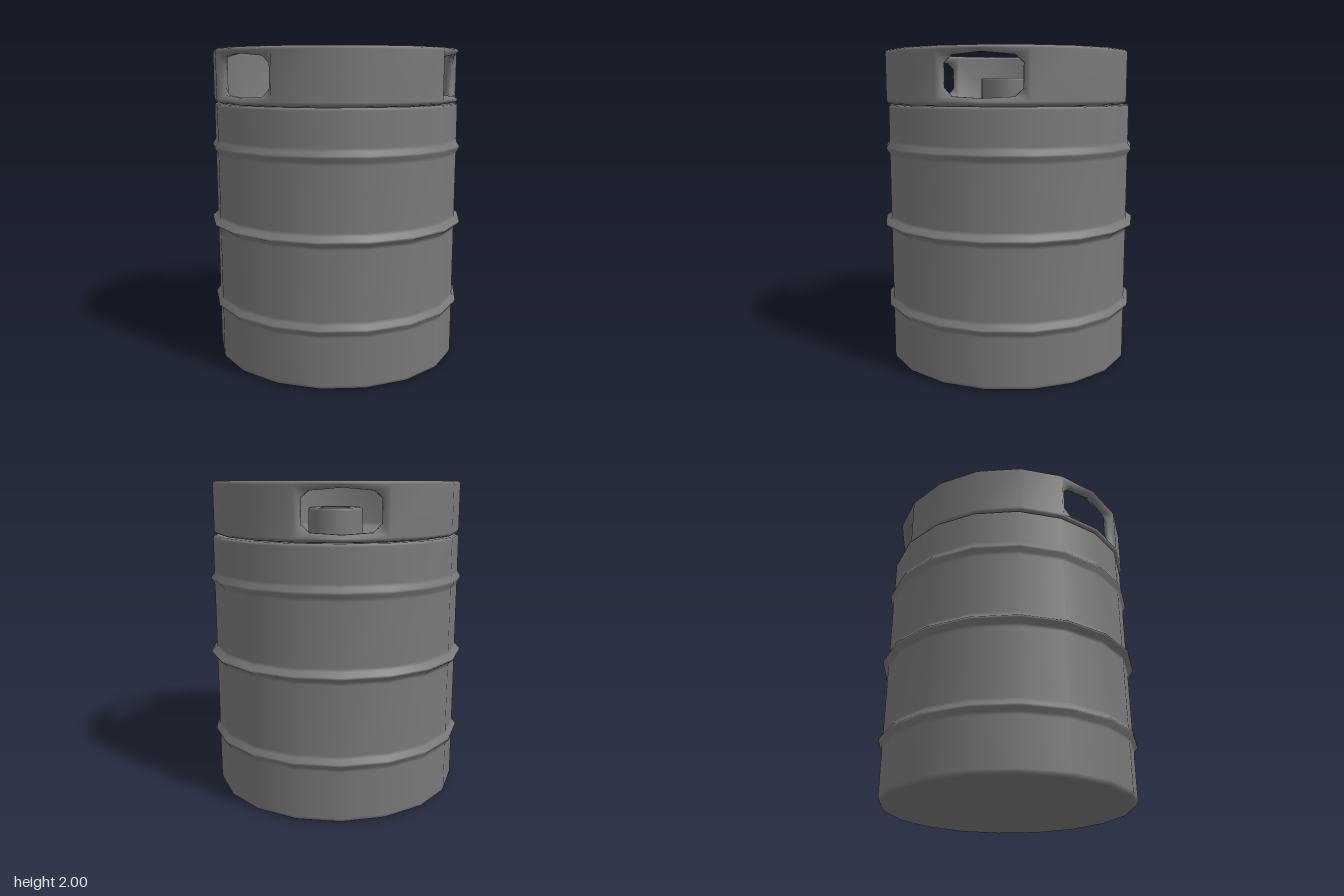
import * as THREE from 'three';
import { mergeGeometries, mergeVertices } from 'three/addons/utils/BufferGeometryUtils.js';

const SIDES = 18;
const STEP = (Math.PI * 2) / SIDES;
const WALL = { out: 0.795, in: 0.72 };   // collar wall radii
const LIP = { out: 0.77, in: 0.745 };    // radii where the wall thins at a hand hole
const Y_LOW = 1.69, Y_HIGH = 1.98;       // collar wall heights

function lathe(points, sides = SIDES) {
  return new THREE.LatheGeometry(points.map(([r, y]) => new THREE.Vector2(r, y)), sides, Math.PI / 2);
}

// Point on the flat facet k of the collar; u runs 0..1 across the facet
function onFacet(k, u, y, r) {
  const a0 = (k - 0.5) * STEP, a1 = (k + 0.5) * STEP;
  return [
    r * THREE.MathUtils.lerp(Math.sin(a0), Math.sin(a1), u),
    y,
    r * THREE.MathUtils.lerp(Math.cos(a0), Math.cos(a1), u),
  ];
}

// Half outline of a hand hole, from its bottom middle to its top middle
const HALF_HOLE = [[0, 1.708], [0.7, 1.718], [0.89, 1.765], [0.89, 1.905], [0.7, 1.947], [0, 1.963]];

// One facet of the collar wall: outer face, inner face and hole lip
function wallFacet(k) {
  const side = k % 6 === 0 ? 1 : k % 6 === 5 ? -1 : 0;
  let corners = [[0, Y_LOW], [1, Y_LOW], [1, Y_HIGH], [0, Y_HIGH]];
  let hole = [];
  if (side === 1) hole = HALF_HOLE;
  if (side === -1) {
    hole = HALF_HOLE.map(([u, y]) => [1 - u, y]).reverse();
    corners = [[1, Y_HIGH], [0, Y_HIGH], [0, Y_LOW], [1, Y_LOW]];
  }

  const contour = [...corners, ...[...hole].reverse()].map(([u, y]) => new THREE.Vector2(u, y));
  const positions = [];
  for (const [a, b, c] of THREE.ShapeUtils.triangulateShape(contour, [])) {
    const [p, q, s] = [contour[a], contour[b], contour[c]];
    const ccw = (q.x - p.x) * (s.y - p.y) - (q.y - p.y) * (s.x - p.x) > 0;
    const tri = ccw ? [a, b, c] : [a, c, b];
    const put = (i, face) => positions.push(
      ...onFacet(k, contour[i].x, contour[i].y, (i < corners.length ? WALL : LIP)[face]));
    for (const i of tri) put(i, 'out');
    for (const i of tri.reverse()) put(i, 'in');
  }
  for (let i = 0; i + 1 < hole.length; i++) {
    const [p, q] = [hole[i], hole[i + 1]];
    const pOut = onFacet(k, ...p, LIP.out), qOut = onFacet(k, ...q, LIP.out);
    const pIn = onFacet(k, ...p, LIP.in), qIn = onFacet(k, ...q, LIP.in);
    positions.push(...pOut, ...qOut, ...qIn, ...pOut, ...qIn, ...pIn);
  }
  const geometry = new THREE.BufferGeometry();
  geometry.setAttribute('position', new THREE.Float32BufferAttribute(positions, 3));
  return geometry;
}

// Collar with rounded foot, rim, dished floor and three hand holes, smoothed as one skin
function collarGeometry() {
  const foot = lathe([[0.74, 1.66], [0.77, 1.667], [0.787, 1.675], [WALL.out, Y_LOW]]);
  const rim = lathe([[WALL.out, Y_HIGH], [0.79, 1.993], [0.775, 2], [0.735, 2], [0.724, 1.995], [WALL.in, Y_HIGH]]);
  const floor = lathe([[WALL.in, Y_LOW], [0.695, 1.666], [0.65, 1.647], [0.57, 1.633], [0.4, 1.627], [0, 1.627]]);
  const pieces = [foot, rim, floor].map((g) => {
    const flat = g.toNonIndexed();
    flat.deleteAttribute('normal');
    flat.deleteAttribute('uv');
    return flat;
  });
  for (let k = 0; k < SIDES; k++) pieces.push(wallFacet(k));
  const geometry = mergeVertices(mergeGeometries(pieces), 1e-4);
  geometry.computeVertexNormals();
  return geometry;
}

export function createModel() {
  const group = new THREE.Group();
  const material = new THREE.MeshStandardMaterial({ color: 0x797979 });
  const add = (name, geometry) => {
    const mesh = new THREE.Mesh(geometry, material);
    mesh.name = name;
    group.add(mesh);
    return mesh;
  };

  // Barrel body with three narrow rolling ribs
  const profile = [[0, 0], [0.76, 0], [0.78, 0.002], [0.792, 0.01], [0.797, 0.03]];
  for (const [y, r] of [[0.375, 0.822], [0.905, 0.832], [1.39, 0.817]]) {
    profile.push([0.797, y - 0.05], [0.801, y - 0.03], [r, y - 0.007],
      [r, y + 0.007], [0.801, y + 0.03], [0.797, y + 0.05]);
  }
  profile.push([0.797, 1.645], [0.793, 1.657], [0.78, 1.662], [0.73, 1.662]);
  add('barrelBody', lathe(profile));

  // Collar, set very slightly off the barrel's axis
  add('handleCollar', collarGeometry()).position.set(0.008, 0, 0.012);

  // Filler neck
  add('fillerNeck', lathe([[0.178, 1.61], [0.178, 1.815], [0.176, 1.824], [0.168, 1.83], [0.105, 1.83],
    [0.097, 1.827], [0.094, 1.818], [0.09, 1.72]])).position.x = 0.005;

  // Domed valve inside the neck
  add('valve', lathe([[0.095, 1.725], [0.08, 1.727], [0.078, 1.74], [0.06, 1.753], [0.03, 1.76], [0, 1.762]]))
    .position.x = 0.005;

  return group;
}
